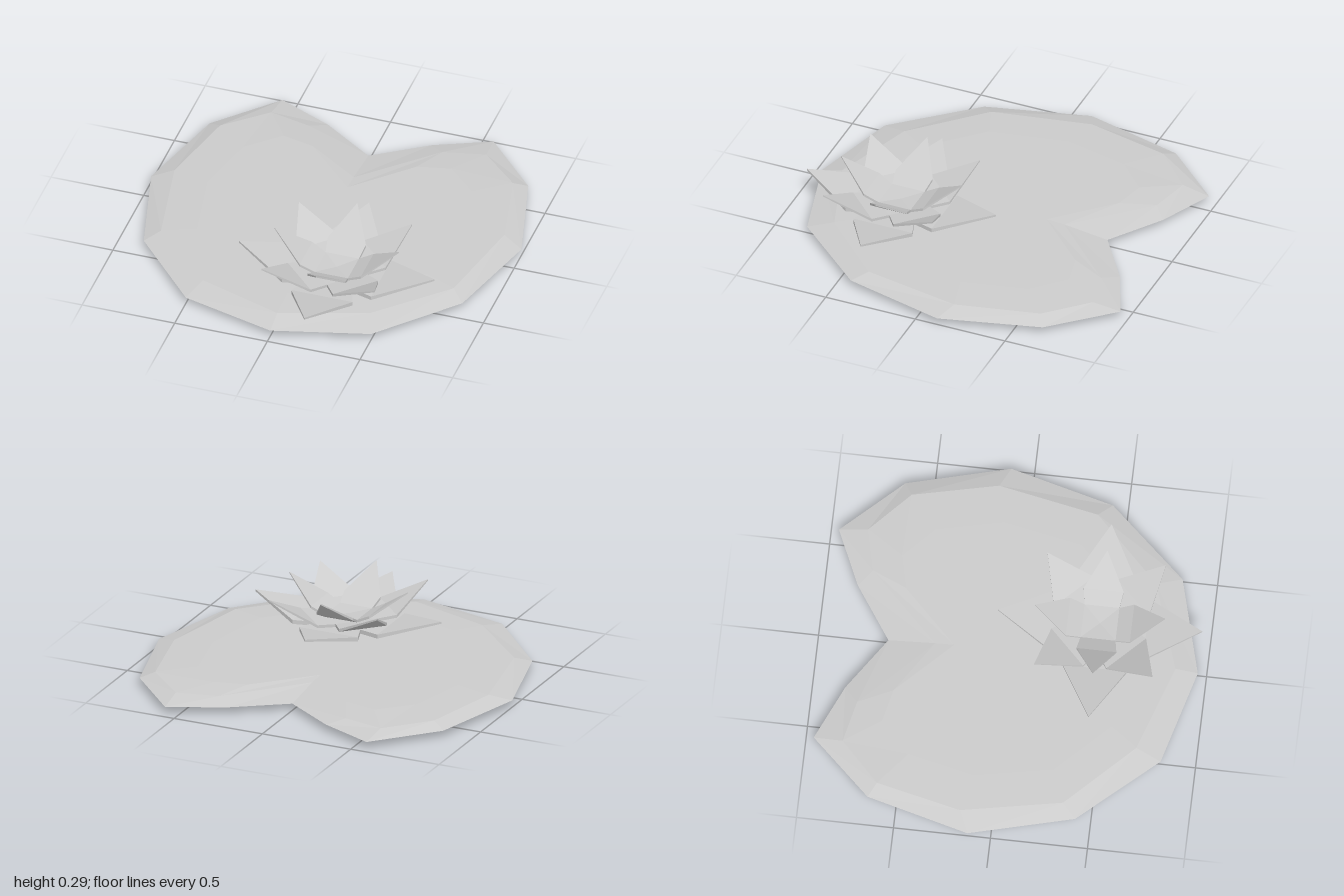
import * as THREE from 'three';

const material = new THREE.MeshStandardMaterial({ color: 0xcccccc, flatShading: true });

// Closed solid lofted through rings of [x, y, z], lowest ring first;
// cap lists the triangles that close the first and last ring.
function solid(name, rings, cap) {
  const n = rings[0].length;
  const index = [];
  for (let r = 0; r < rings.length - 1; r++) {
    for (let i = 0; i < n; i++) {
      const j = (i + 1) % n;
      const a = r * n, b = a + n;
      index.push(a + j, a + i, b + i, a + j, b + i, b + j);
    }
  }
  const top = (rings.length - 1) * n;
  for (const [a, b, c] of cap) {
    index.push(a, b, c, top + a, top + c, top + b);
  }
  const geometry = new THREE.BufferGeometry();
  geometry.setAttribute('position', new THREE.Float32BufferAttribute(rings.flat(2), 3));
  geometry.setIndex(index);
  const flat = geometry.toNonIndexed();
  flat.computeVertexNormals();
  const mesh = new THREE.Mesh(flat, material);
  mesh.name = name;
  return mesh;
}

// Right half of an outline, from the back notch to the front, mirrored to a full loop
function mirrorLoop(half) {
  const left = half.slice(1, -1).reverse().map(([x, z]) => [-x, z]);
  return [...half, ...left];
}

// Heart-shaped leaf with a sharp rim and bevelled faces
function createLeaf() {
  const rim = mirrorLoop([[0, -0.64], [0.28, -0.83], [0.57, -0.96], [0.86, -0.65],
    [1, -0.12], [0.86, 0.42], [0.5, 0.82], [0, 0.955]]);
  const bevel = mirrorLoop([[0, -0.4], [0.36, -0.76], [0.58, -0.81], [0.79, -0.61],
    [0.89, -0.17], [0.79, 0.35], [0.45, 0.69], [0, 0.84]]);
  const mid = 0.043;
  const bevelRing = (s) => bevel.map(([x, z]) => [x, mid + s * (z < -0.7 ? 0.024 : 0.031), z]);
  const faceRing = (s) => bevel.map(([x, z]) => [x * 0.78, mid + s * 0.037, 0.05 + (z - 0.05) * 0.78]);
  const rings = [faceRing(-1), bevelRing(-1), rim.map(([x, z]) => [x, mid, z]),
    bevelRing(1), faceRing(1)];
  const cap = [];
  for (let i = 1; i < rim.length - 1; i++) cap.push([0, i, i + 1]);
  return solid('leaf', rings, cap);
}

// Pointed petal along +z: centre, notch, widest point and tip, each with its height
function createPetal(name, { baseY, notch, notchY, width, sideZ, sideY, tipZ, tipY, thick }) {
  const lower = [[0, baseY, 0], [notch, notchY, notch], [width, sideY, sideZ], [0, tipY - thick / 2, tipZ],
    [-width, sideY, sideZ], [-notch, notchY, notch]];
  const upper = lower.map(([x, y, z], i) => [x, y + (i === 3 ? thick / 2 : thick), z]);
  return solid(name, [lower, upper], [[0, 1, 5], [5, 1, 2], [5, 2, 4], [4, 2, 3]]);
}

// Three whorls of four petals, each steeper and smaller than the one below
function createFlower() {
  const flower = new THREE.Group();
  flower.name = 'flower';
  const whorls = [
    { name: 'outerPetal', turn: 0, baseY: 0.077, notch: 0.125, notchY: 0.079, width: 0.165,
      sideZ: 0.24, sideY: 0.085, tipZ: 0.527, tipY: 0.168, thick: 0.022 },
    { name: 'middlePetal', turn: Math.PI / 4, baseY: 0.1, notch: 0.11, notchY: 0.105, width: 0.13,
      sideZ: 0.215, sideY: 0.12, tipZ: 0.432, tipY: 0.255, thick: 0.016 },
    { name: 'innerPetal', turn: 0, baseY: 0.112, notch: 0.09, notchY: 0.122, width: 0.103,
      sideZ: 0.165, sideY: 0.16, tipZ: 0.336, tipY: 0.298, thick: 0.014 },
  ];
  for (const whorl of whorls) {
    for (let i = 0; i < 4; i++) {
      const petal = createPetal(whorl.name, whorl);
      petal.rotation.y = whorl.turn + i * Math.PI / 2;
      flower.add(petal);
    }
  }
  flower.position.set(0.185, 0, 0.43);
  return flower;
}

export function createModel() {
  const model = new THREE.Group();
  model.name = 'waterLily';
  model.add(createLeaf(), createFlower());
  return model;
}
